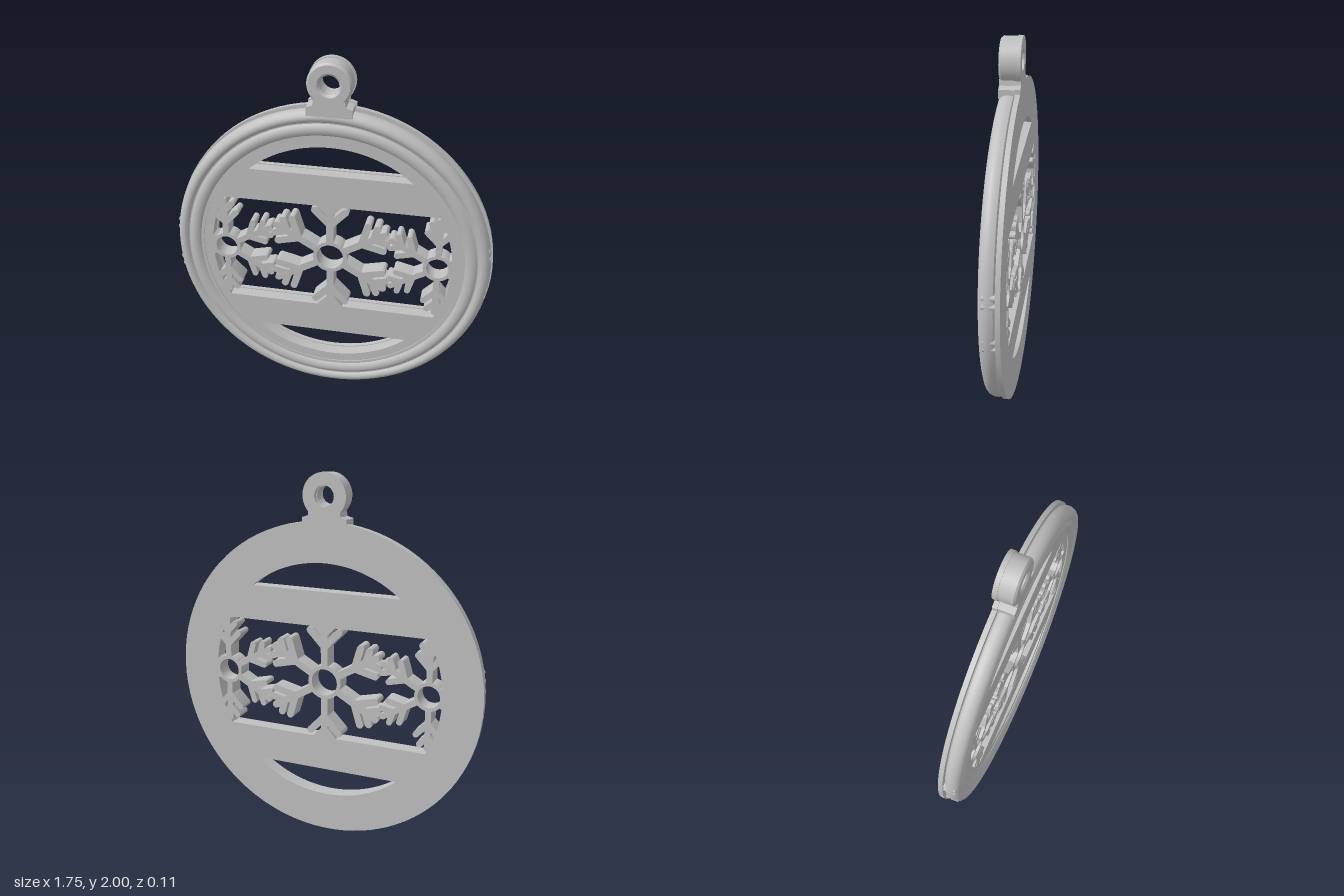
import * as THREE from 'three';
import { toCreasedNormals } from 'three/addons/utils/BufferGeometryUtils.js';

const CY = 0.877;                                  // centre height of the disc
const BACK = -0.055, STEP = -0.03, FLAT = 0.035, FRONT = 0.055;

export function createModel() {
  const model = new THREE.Group();
  const silver = new THREE.MeshStandardMaterial({ color: 0xbfbfbf });
  silver.name = 'silver';

  const add = (geo, name, x = 0, y = 0, parent = model) => {
    const mesh = new THREE.Mesh(geo, silver);
    mesh.name = name;
    mesh.position.set(x, y, 0);
    parent.add(mesh);
    return mesh;
  };
  const extrude = (shape, z0, z1) => {
    const geo = new THREE.ExtrudeGeometry(shape, { depth: z1 - z0, bevelEnabled: false, curveSegments: 48 });
    geo.translate(0, 0, z0);
    return toCreasedNormals(geo, 0.5);
  };
  // closed lathe whose axis points to the front; profile is [radius, z]
  const turned = (profile, segments) => {
    const pts = [...profile, profile[0]].map(([r, z]) => new THREE.Vector2(r, z));
    const geo = new THREE.LatheGeometry(pts, segments);
    geo.rotateX(Math.PI / 2);
    return toCreasedNormals(geo, 0.6);
  };

  // opening between the inner circle and a chord, on one side
  const segmentHole = (r, h, sign) => {
    const a = Math.asin(h / r), path = new THREE.Path();
    if (sign > 0) path.absarc(0, 0, r, a, Math.PI - a, false);
    else path.absarc(0, 0, r, Math.PI + a, 2 * Math.PI - a, false);
    path.closePath();
    return path;
  };
  // middle opening between the two bars
  const middleHole = (r, h) => {
    const a = Math.asin(h / r), path = new THREE.Path();
    path.absarc(0, 0, r, -a, a, false);
    path.absarc(0, 0, r, Math.PI - a, Math.PI + a, false);
    path.closePath();
    return path;
  };
  // disc with three openings; grow widens the solid parts a little
  const discShape = (radius, grow) => {
    const s = new THREE.Shape();
    s.absarc(0, 0, radius, 0, Math.PI * 2, false);
    const r = 0.664 - grow;
    s.holes.push(segmentHole(r, 0.502 + grow, 1), segmentHole(r, 0.502 + grow, -1), middleHole(r, 0.32 - grow));
    return s;
  };
  add(extrude(discShape(0.875, 0.005), BACK, STEP), 'backPlate', 0, CY);
  add(extrude(discShape(0.74, 0), STEP, FLAT), 'barsAndInnerRim', 0, CY);

  // rounded double ring on the front
  const ring = [
    [0.715, STEP], [0.845, STEP], [0.86, -0.02], [0.867, 0], [0.866, 0.02], [0.858, 0.038],
    [0.845, 0.05], [0.83, FRONT], [0.815, 0.052], [0.803, 0.04], [0.797, 0.04],
    [0.785, 0.05], [0.768, 0.054], [0.75, 0.052], [0.737, 0.044], [0.732, 0.04], [0.715, 0.04],
  ];
  add(turned(ring, 96), 'roundedRing', 0, CY);

  // snowflakes: hub ring and six branching arms
  const stroke = (length, w) => {
    const s = new THREE.Shape();
    s.moveTo(0, -w);
    s.lineTo(length - w, -w);
    s.absarc(length - w, 0, w, -Math.PI / 2, Math.PI / 2, false);
    s.lineTo(0, w);
    s.closePath();
    return s;
  };
  const snowflake = (name, x, hubInner, hubOuter, armLength, w, branches) => {
    const flake = new THREE.Group();
    flake.name = name;
    flake.position.set(x, CY + 0.005, 0);
    model.add(flake);
    add(turned([[hubInner, BACK], [hubOuter, BACK], [hubOuter, FLAT], [hubInner, FLAT]], 40), 'hub', 0, 0, flake);
    const start = (hubInner + hubOuter) / 2;
    for (let i = 0; i < 6; i++) {
      const arm = new THREE.Group();
      arm.name = 'arm';
      arm.rotation.z = Math.PI / 6 + i * Math.PI / 3;
      flake.add(arm);
      add(extrude(stroke(armLength - start, w), BACK, FLAT), 'stem', start, 0, arm);
      for (const [at, length] of branches) {
        for (const side of [-1, 1]) {
          add(extrude(stroke(length, w), BACK, FLAT), 'branch', at, 0, arm).rotation.z = side * 0.76;
        }
      }
    }
  };
  snowflake('centreSnowflake', 0, 0.074, 0.095, 0.36, 0.02, [[0.2, 0.14], [0.275, 0.09]]);
  for (const side of [-1, 1]) {
    snowflake('sideSnowflake', side * 0.587, 0.06, 0.079, 0.305, 0.0165, [[0.15, 0.11], [0.225, 0.08]]);
  }

  // hanging loop
  const LY = 1.88;
  add(turned([[0.054, BACK], [0.12, BACK], [0.12, STEP], [0.054, STEP]], 48), 'loopBack', 0, LY);
  add(turned([
    [0.05, STEP], [0.115, STEP], [0.115, 0.045], [0.105, FRONT], [0.062, FRONT], [0.05, 0.045],
  ], 48), 'loop', 0, LY);

  // stepped neck joining loop and disc
  const neckShape = (grow) => {
    const half = [[0.118, 1.715], [0.118, 1.762], [0.085, 1.772], [0.08, 1.802]];
    const right = half.map(([x, y]) => new THREE.Vector2(x + grow, y + grow));
    const left = right.map((p) => new THREE.Vector2(-p.x, p.y)).reverse();
    return new THREE.Shape([...right, ...left]);
  };
  add(extrude(neckShape(0.006), BACK, STEP), 'neckBack');
  add(extrude(neckShape(0), STEP, FRONT), 'neck');

  return model;
}
